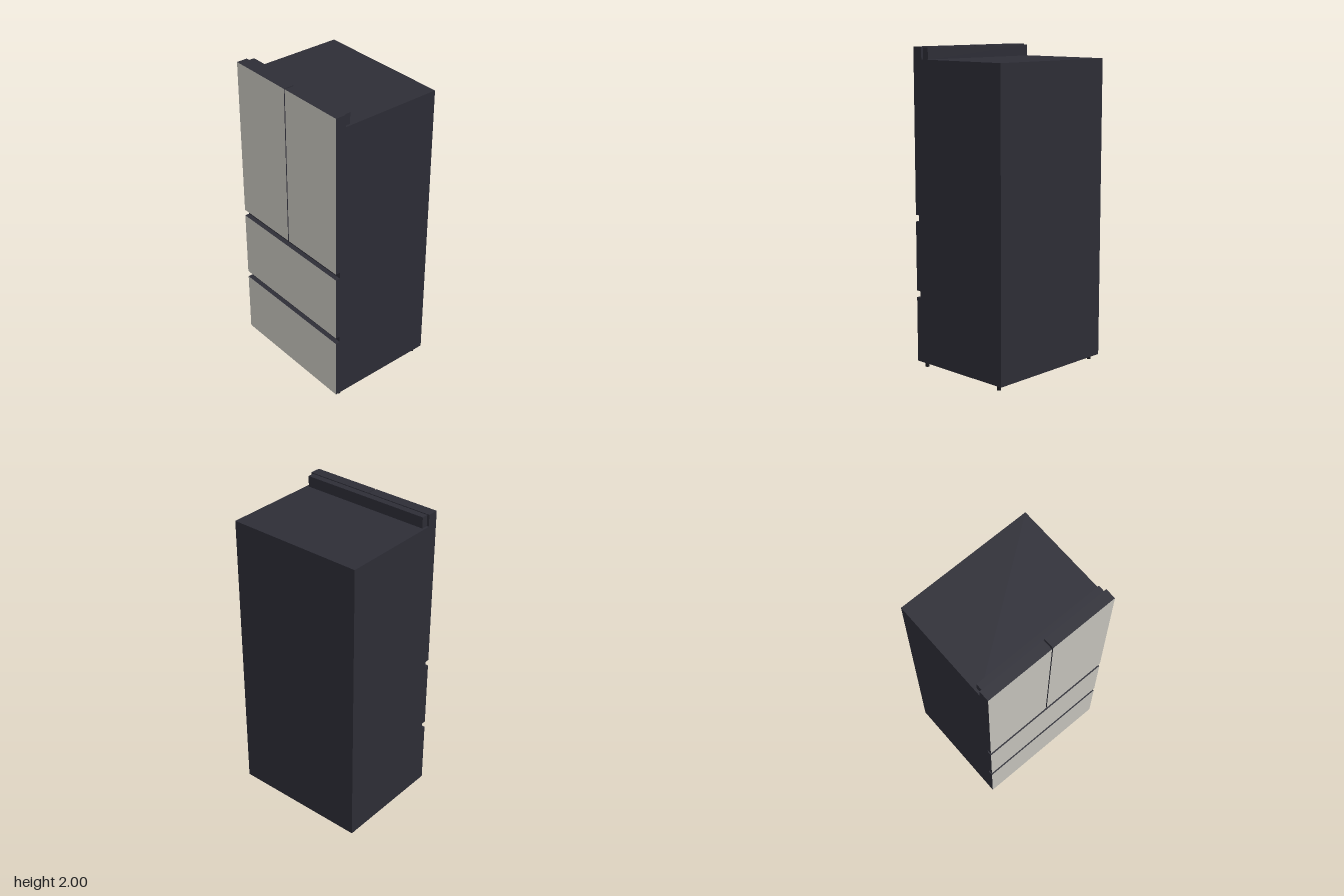
import * as THREE from 'three';

export function createModel() {
  const model = new THREE.Group();
  const mat = (name, color) => {
    const m = new THREE.MeshStandardMaterial({ color });
    m.name = name;
    return m;
  };
  const dark = mat('dark graphite', 0x2d2d36);
  const light = mat('warm grey panel', 0xc8c6bf);
  const steel = mat('hinge steel', 0x85858a);
  const black = mat('black rubber', 0x1c1c20);

  // Box given by its limits on each axis
  const box = (name, material, [x0, x1], [y0, y1], [z0, z1]) => {
    const mesh = new THREE.Mesh(new THREE.BoxGeometry(x1 - x0, y1 - y0, z1 - z0), material);
    mesh.position.set((x0 + x1) / 2, (y0 + y1) / 2, (z0 + z1) / 2);
    mesh.name = name;
    model.add(mesh);
    return mesh;
  };

  const W = 0.447, BACK = -0.367, SEAM = 0.297, FRONT = 0.367, GRIP = 0.337;
  // Dark fronts with a light face towards +z
  const faced = [dark, dark, dark, dark, light, dark];

  // Cabinet and the hinge cover along its top front edge
  box('cabinet', dark, [-W, W], [0.035, 1.925], [BACK, SEAM]);
  box('hingeCover', dark, [-0.432, 0.432], [1.925, 1.995], [0.255, SEAM]);

  // Pair of upper doors with a narrow gap between them
  box('rightDoor', faced, [-W, -0.004], [0.972, 2], [SEAM, FRONT]);
  box('leftDoor', faced, [0.004, W], [0.972, 2], [SEAM, FRONT]);
  box('doorMullion', dark, [-0.004, 0.004], [0.972, 1.93], [SEAM, 0.31]);

  // Drawers, each with a recessed grip above it
  for (const [name, bottom, top, gripTop] of [
    ['middleDrawer', 0.491, 0.93, 0.972],
    ['bottomDrawer', 0.035, 0.448, 0.491],
  ]) {
    box(name, faced, [-W, W], [bottom, top], [SEAM, FRONT]);
    box(name + 'Grip', dark, [-W, W], [top, gripTop], [SEAM, GRIP]);
  }

  // Lower door hinges and the four feet
  for (const s of [-1, 1]) {
    const xs = [s * 0.43, s * 0.37].sort((a, b) => a - b);
    box('doorHinge', steel, xs, [0.964, 0.972], [GRIP, 0.358]);
    for (const z of [-0.317, 0.317]) {
      const foot = new THREE.Mesh(new THREE.CylinderGeometry(0.012, 0.012, 0.035, 16), black);
      foot.position.set(s * 0.413, 0.0175, z);
      foot.name = 'foot';
      model.add(foot);
    }
  }
  return model;
}
